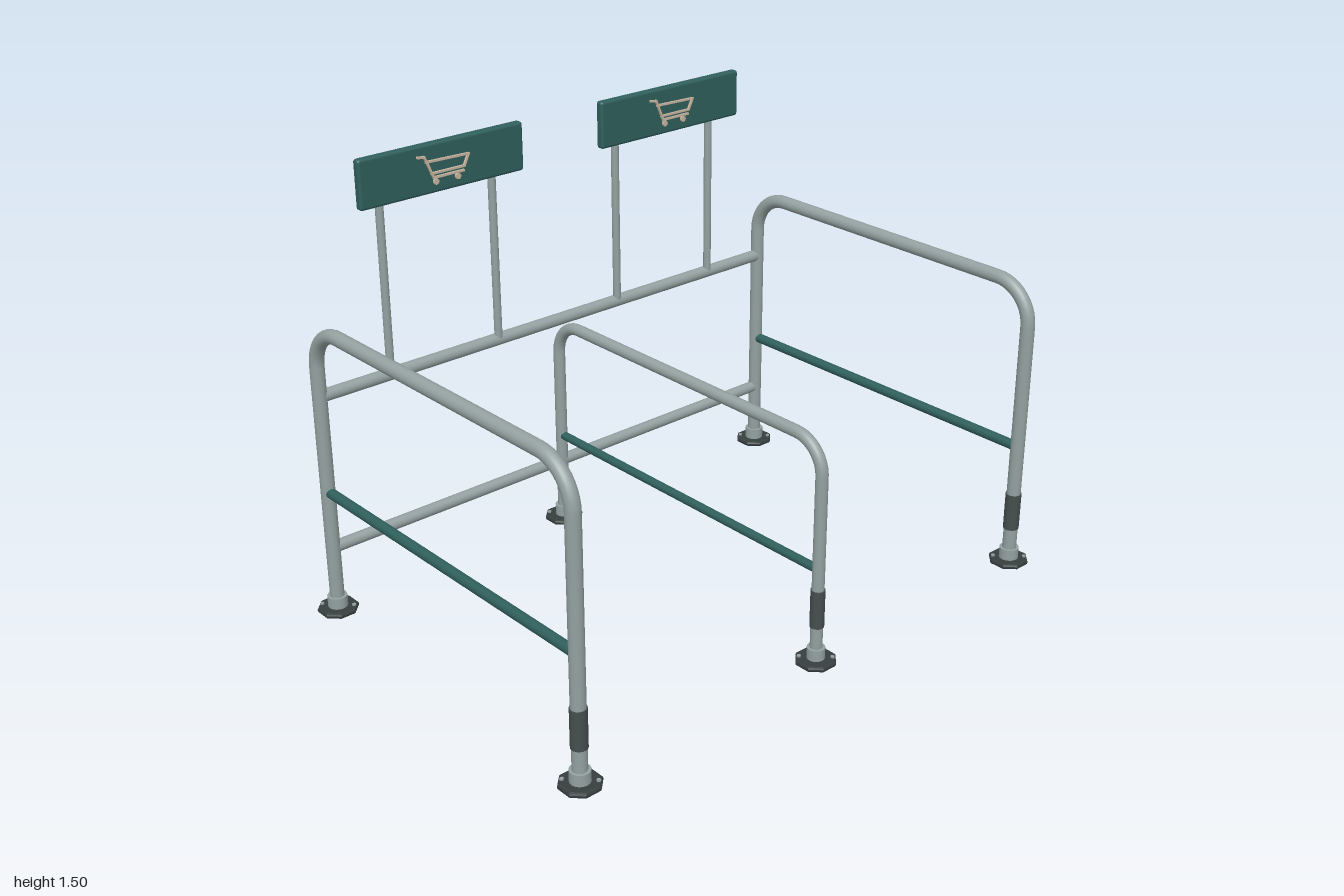
import * as THREE from 'three';
import { RoundedBoxGeometry } from 'three/addons/geometries/RoundedBoxGeometry.js';

const material = (name, color) => {
  const m = new THREE.MeshStandardMaterial({ color });
  m.name = name;
  return m;
};

export function createModel() {
  const steel = material('galvanised steel', 0x93a1a0);
  const green = material('dark green', 0x2f5f5c);
  const rubber = material('grey sleeve', 0x454e4e);
  const black = material('dark base', 0x373e3e);
  const beige = material('beige symbol', 0xc9b5a0);

  const model = new THREE.Group();
  model.name = 'trolleyBay';
  const V = (x, y, z) => new THREE.Vector3(x, y, z);
  const Z = 0.627;

  function add(parent, name, geometry, mat, x = 0, y = 0, z = 0) {
    const mesh = new THREE.Mesh(geometry, mat);
    mesh.name = name;
    mesh.position.set(x, y, z);
    parent.add(mesh);
    return mesh;
  }

  // Straight round bar between two points
  function bar(parent, name, a, b, r, mat, sides = 20) {
    const dir = b.clone().sub(a);
    const mesh = add(parent, name, new THREE.CylinderGeometry(r, r, dir.length(), sides), mat);
    mesh.position.copy(a).add(b).multiplyScalar(0.5);
    mesh.quaternion.setFromUnitVectors(V(0, 1, 0), dir.normalize());
    return mesh;
  }

  // Upside-down U tube in the yz plane
  function hoopGeometry(top, bend, r) {
    const k = bend * 0.4477;
    const path = new THREE.CurvePath();
    path.add(new THREE.LineCurve3(V(0, 0.01, Z), V(0, top - bend, Z)));
    path.add(new THREE.CubicBezierCurve3(V(0, top - bend, Z), V(0, top - k, Z), V(0, top, Z - k), V(0, top, Z - bend)));
    path.add(new THREE.LineCurve3(V(0, top, Z - bend), V(0, top, bend - Z)));
    path.add(new THREE.CubicBezierCurve3(V(0, top, bend - Z), V(0, top, k - Z), V(0, top - k, -Z), V(0, top - bend, -Z)));
    path.add(new THREE.LineCurve3(V(0, top - bend, -Z), V(0, 0.01, -Z)));
    return new THREE.TubeGeometry(path, 160, r, 20);
  }

  // Square base plate with cut corners and bevelled top edge
  const h = 0.054, c = 0.03;
  const plateShape = new THREE.Shape([
    [h - c, -h], [h, c - h], [h, h - c], [h - c, h],
    [c - h, h], [-h, h - c], [-h, c - h], [c - h, -h],
  ].map(([x, y]) => new THREE.Vector2(x, y)));
  const plateGeometry = new THREE.ExtrudeGeometry(plateShape, {
    depth: 0.004, bevelEnabled: true, bevelThickness: 0.007, bevelSize: 0.0075, bevelSegments: 2,
  });
  plateGeometry.rotateX(-Math.PI / 2).translate(0, 0.007, 0);

  function foot(parent, x, z, r) {
    const g = new THREE.Group();
    g.name = 'foot';
    g.position.set(x, 0, z);
    parent.add(g);
    add(g, 'basePlate', plateGeometry, black);
    add(g, 'collar', new THREE.CylinderGeometry(r + 0.009, r + 0.009, 0.04, 24), steel, 0, 0.036, 0);
    for (const s of [-1, 1]) {
      add(g, 'bolt', new THREE.CylinderGeometry(0.007, 0.007, 0.006, 6), steel, s * 0.037, 0.02, s * 0.037);
    }
  }

  // Three hoops with feet, sleeves and green side bars
  const hoops = [
    { x: -0.9385, top: 1.003, bend: 0.135, r: 0.0235, barY: 0.435, barR: 0.017 },
    { x: 0, top: 0.758, bend: 0.11, r: 0.02, barY: 0.33, barR: 0.0145 },
    { x: 0.9385, top: 1.003, bend: 0.135, r: 0.0235, barY: 0.435, barR: 0.017 },
  ];
  for (const { x, top, bend, r, barY, barR } of hoops) {
    const g = new THREE.Group();
    g.name = x === 0 ? 'middleHoop' : 'sideHoop';
    model.add(g);
    add(g, 'hoopTube', hoopGeometry(top, bend, r), steel, x);
    bar(g, 'sideBar', V(x, barY, -Z), V(x, barY, Z), barR, green);
    add(g, 'sleeve', new THREE.CylinderGeometry(r + 0.003, r + 0.003, 0.13, 24), rubber, x, 0.196, Z);
    for (const z of [-Z, Z]) foot(g, x, z, r);
  }

  // Back rails
  bar(model, 'upperBackRail', V(-0.9385, 0.765, -Z), V(0.9385, 0.765, -Z), 0.021, steel);
  bar(model, 'lowerBackRail', V(-0.9385, 0.232, -Z), V(0.9385, 0.232, -Z), 0.02, steel);

  // Line strokes of the trolley pictogram, relative to the sign centre
  const strokes = [
    [[-0.097, 0.046], [-0.074, 0.043], [-0.043, -0.028], [0.068, -0.028]],
    [[-0.068, 0.026], [0.09, 0.022], [0.072, -0.014], [-0.05, -0.014]],
  ];

  // Two signs, each on a pair of slim posts
  for (const side of [-1, 1]) {
    const g = new THREE.Group();
    g.name = 'sign';
    g.position.set(side * 0.468, 1.423, 0);
    model.add(g);
    add(g, 'signBoard', new RoundedBoxGeometry(0.614, 0.161, 0.03, 3, 0.01), green, 0, 0, -0.586);
    for (const x of [-0.212, 0.212]) {
      bar(g, 'signPost', V(x, -0.66, -0.621), V(x, 0.012, -0.621), 0.0135, steel, 16);
      bar(g, 'signBracket', V(x, 0.002, -0.621), V(x, 0.002, -0.595), 0.009, steel, 12);
    }
    const cart = new THREE.Group();
    cart.name = 'trolleySymbol';
    cart.position.z = -0.568;
    g.add(cart);
    for (const line of strokes) {
      for (let i = 1; i < line.length; i++) {
        const [a, b] = [line[i - 1], line[i]];
        const len = Math.hypot(b[0] - a[0], b[1] - a[1]);
        const piece = add(cart, 'stroke', new THREE.BoxGeometry(len + 0.006, 0.007, 0.009), beige,
          (a[0] + b[0]) / 2, (a[1] + b[1]) / 2, 0);
        piece.rotation.z = Math.atan2(b[1] - a[1], b[0] - a[0]);
      }
    }
    for (const x of [-0.035, 0.047]) {
      const wheel = add(cart, 'wheel', new THREE.CylinderGeometry(0.01, 0.01, 0.009, 16), beige, x, -0.042, 0);
      wheel.rotation.x = Math.PI / 2;
    }
  }

  return model;
}
